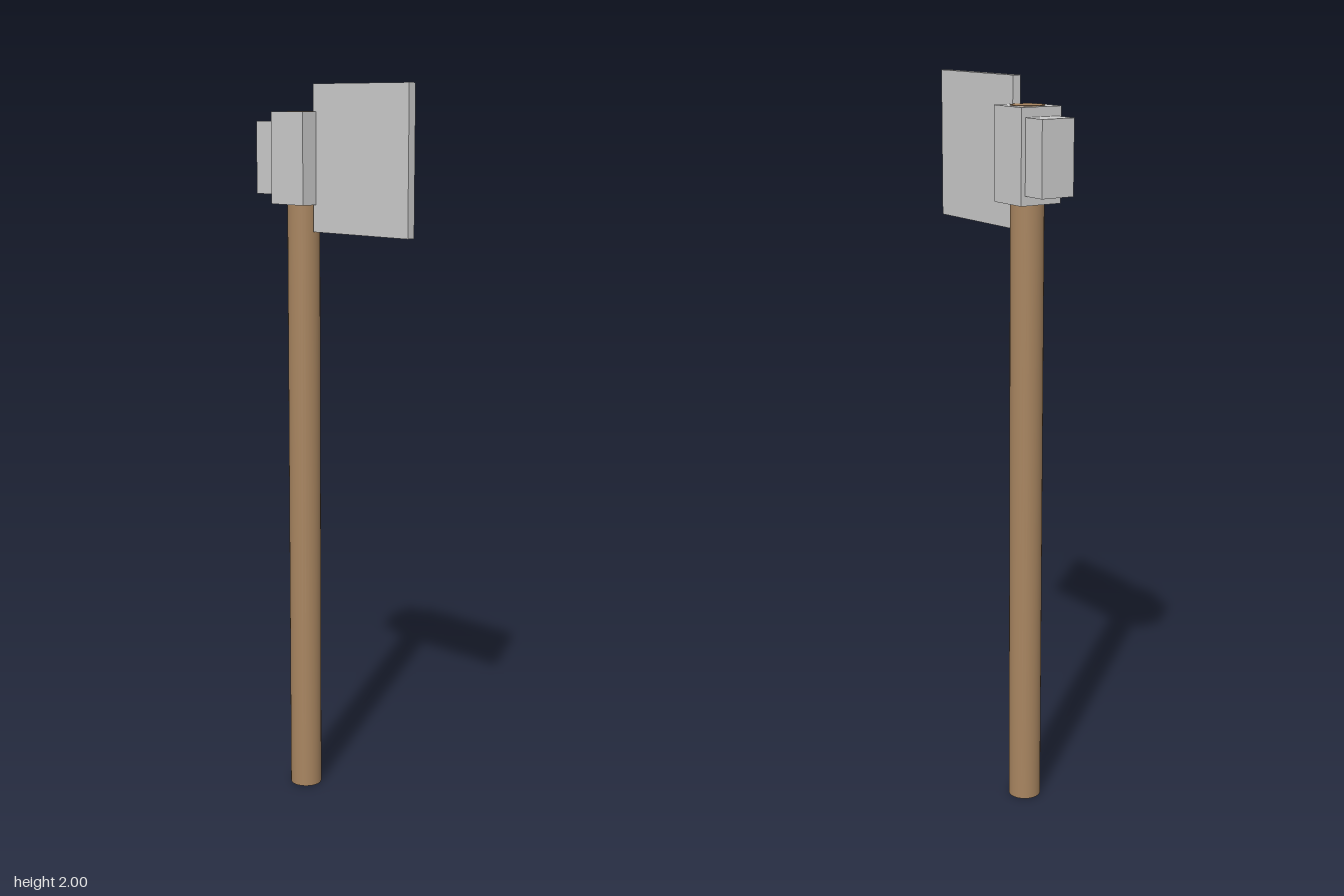
import * as THREE from 'three';

const steel = new THREE.MeshStandardMaterial({ color: 0xcccccc });
const wood = new THREE.MeshStandardMaterial({ color: 0xa88560 });

const HEAD_Y = 1.804; // shared centre height of the axe head parts
const HANDLE_Z = -0.131;
const HANDLE_TOP = 1.929;

function addMesh(group, name, geometry, material, y, z) {
  const mesh = new THREE.Mesh(geometry, material);
  mesh.name = name;
  mesh.position.set(0, y, z);
  group.add(mesh);
}

// Steel block centred at head height, spanning zBack to zFront
function addBlock(group, name, width, height, zBack, zFront) {
  const geometry = new THREE.BoxGeometry(width, height, zFront - zBack);
  addMesh(group, name, geometry, steel, HEAD_Y, (zBack + zFront) / 2);
}

export function createModel() {
  const axe = new THREE.Group();
  axe.name = 'axe';

  // Round wooden handle, its end just showing through the top of the eye
  const shaft = new THREE.CylinderGeometry(0.0445, 0.0445, HANDLE_TOP, 32);
  addMesh(axe, 'handle', shaft, wood, HANDLE_TOP / 2, HANDLE_Z);

  // Head: socket around the handle, thin blade in front, poll behind
  const head = new THREE.Group();
  head.name = 'head';
  addBlock(head, 'eyeBlock', 0.123, 0.246, -0.193, -0.07);
  addBlock(head, 'blade', 0.024, 0.392, -0.081, 0.266);
  addBlock(head, 'poll', 0.098, 0.196, -0.266, -0.18);
  axe.add(head);

  return axe;
}
